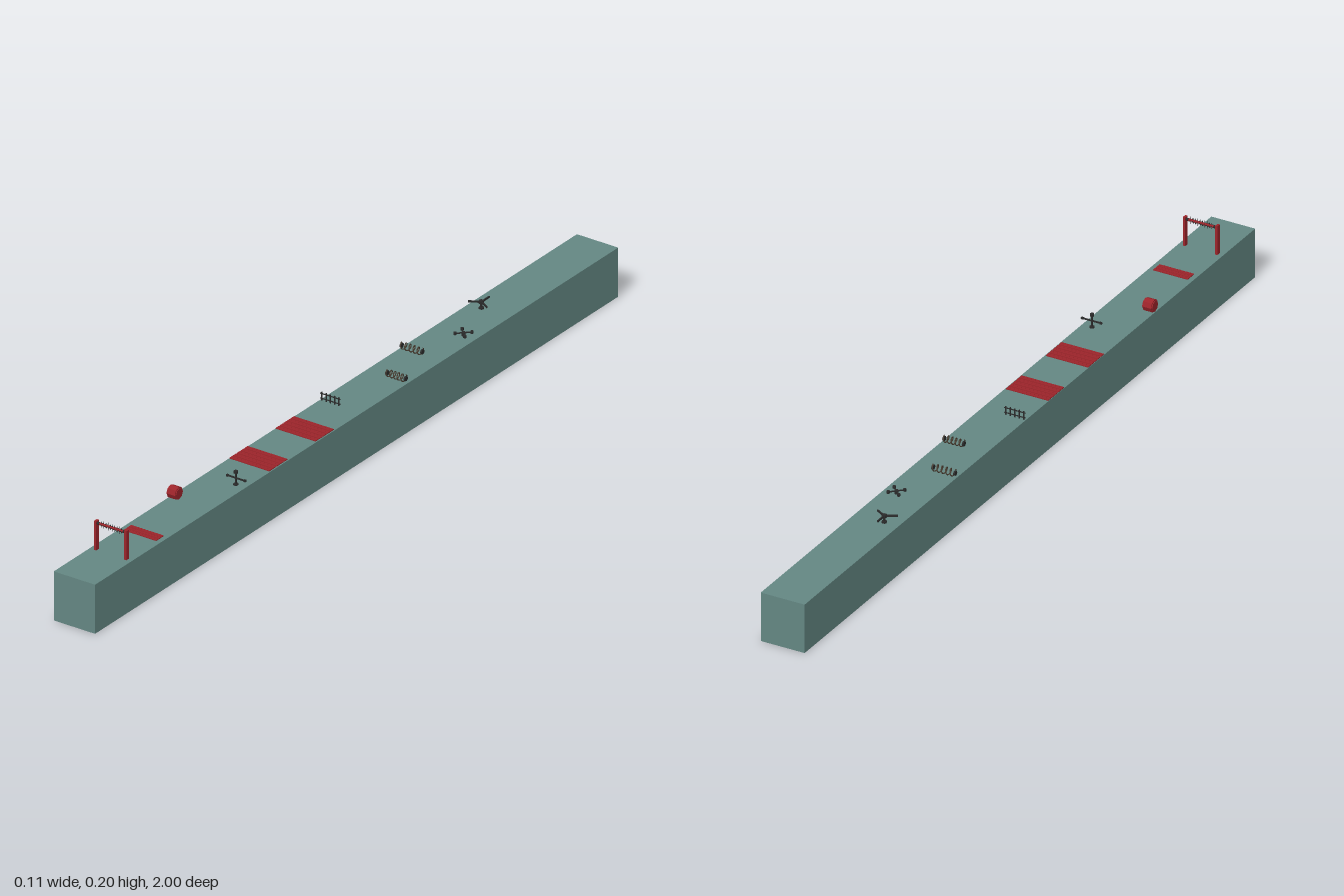
import * as THREE from 'three';

const TOP = 0.122;
const mat = (color) => {
  const m = new THREE.MeshStandardMaterial({ flatShading: true });
  m.color.set(color);
  return m;
};

export function createModel() {
  const model = new THREE.Group();
  const teal = mat(0x648783), red = mat(0x9c242a), dark = mat(0x2b2b2b), brown = mat(0x4a3f33);

  const group = (name, x, z) => {
    const g = new THREE.Group();
    g.name = name;
    g.position.set(x, TOP, z);
    model.add(g);
    return g;
  };
  const add = (parent, name, geo, m, x = 0, y = 0, z = 0) => {
    const mesh = new THREE.Mesh(geo, m);
    mesh.name = name;
    mesh.position.set(x, y, z);
    parent.add(mesh);
    return mesh;
  };
  const box = (w, h, d) => new THREE.BoxGeometry(w, h, d);
  const cyl = (r, h, n = 8, rTop = r) => new THREE.CylinderGeometry(rTop, r, h, n);

  // Long platform
  add(model, 'platform', box(0.112, TOP, 2), teal, -0.003, TOP / 2, 0);

  // Gate with a spiked crossbar
  const gate = group('spikedGate', -0.003, 0.858);
  for (const s of [-1, 1]) {
    add(gate, 'gatePost', box(0.006, 0.072, 0.011), red, s * 0.041, 0.036, 0);
    add(gate, 'barCollar', cyl(0.0035, 0.006).rotateZ(Math.PI / 2), dark, s * 0.035, 0.066, 0);
  }
  add(gate, 'crossbar', cyl(0.003, 0.078).rotateZ(Math.PI / 2), red, 0, 0.066, 0);
  for (let i = 0; i < 10; i++) {
    for (let k = 0; k < 4; k++) {
      const spike = cyl(0.0016, 0.009, 4, 0).translate(0, 0.0055, 0).rotateX(k * Math.PI / 2);
      add(gate, 'barSpike', spike, dark, -0.027 + i * 0.006, 0.066, 0);
    }
  }

  // Floor panels made of slats, set with short spikes
  const spikedFloor = (name, x, z, width, depth, rows) => {
    const g = group(name, x, z);
    const pitch = depth / rows;
    for (let r = 0; r < rows; r++) {
      const rz = (r + 0.5) * pitch - depth / 2;
      add(g, 'slat', box(width, 0.002, pitch * 0.85), red, 0, 0.001, rz);
      for (let i = 0; i < 10; i++) {
        add(g, 'floorSpike', cyl(0.0014, 0.004, 4, 0), red, (i - 4.5) * width / 10.5, 0.004, rz);
      }
    }
  };
  spikedFloor('smallSpikedFloor', -0.003, 0.735, 0.088, 0.03, 3);
  spikedFloor('frontSpikedFloor', -0.004, 0.295, 0.108, 0.072, 5);
  spikedFloor('middleSpikedFloor', -0.004, 0.118, 0.108, 0.072, 5);

  // Rolling drum with end caps
  const drum = group('rollingDrum', -0.046, 0.556);
  add(drum, 'drumBody', cyl(0.0155, 0.022, 8).rotateZ(Math.PI / 2), red, 0, 0.015, 0);
  for (const s of [-1, 1]) {
    add(drum, 'drumCap', cyl(0.013, 0.002, 8).rotateZ(Math.PI / 2), red, s * 0.012, 0.015, 0);
  }

  // Turning post with a long arm
  const turner = group('turningPost', 0.027, 0.425);
  add(turner, 'turnerBase', cyl(0.006, 0.003), dark, 0, 0.0015, 0);
  add(turner, 'turnerPost', cyl(0.002, 0.032), dark, 0, 0.016, 0);
  add(turner, 'turnerCap', cyl(0.005, 0.006), dark, 0, 0.032, 0);
  add(turner, 'turnerArm', box(0.054, 0.003, 0.003), dark, 0.001, 0.017, 0);
  for (const s of [-1, 1]) {
    add(turner, 'armTip', box(0.005, 0.005, 0.004), dark, 0.001 + s * 0.0235, 0.017, 0);
  }

  // Low fence
  const fence = group('lowFence', -0.031, -0.018);
  for (const y of [0.005, 0.017]) add(fence, 'fenceRail', box(0.054, 0.002, 0.002), dark, 0, y, 0);
  for (let i = 0; i < 5; i++) {
    add(fence, 'fencePost', box(0.0025, 0.021, 0.0025), dark, (i - 2) * 0.0115, 0.0105, 0);
  }

  // Coils lying across the platform, with a hub at each end
  const coil = (name, x, z, width) => {
    const g = group(name, x, z);
    const pts = [];
    for (let i = 0; i <= 60; i++) {
      const a = i / 60 * Math.PI * 10;
      pts.push(new THREE.Vector3((i / 60 - 0.5) * width, 0.0095 + 0.008 * Math.cos(a), 0.008 * Math.sin(a)));
    }
    add(g, 'coilWire', new THREE.TubeGeometry(new THREE.CatmullRomCurve3(pts), 120, 0.0014, 5), brown);
    for (const s of [-1, 1]) {
      add(g, 'coilHub', cyl(0.006, 0.004).rotateZ(Math.PI / 2), dark, s * width / 2, 0.0095, 0);
    }
  };
  coil('rightCoil', -0.026, -0.323, 0.056);
  coil('leftCoil', 0.022, -0.196, 0.05);

  // Cross-shaped rotor
  const cross = group('crossRotor', 0.02, -0.455);
  add(cross, 'crossHub', cyl(0.005, 0.009), dark, 0, 0.0045, 0);
  for (let k = 0; k < 4; k++) {
    const arm = new THREE.Group();
    arm.name = 'crossArm';
    arm.rotation.y = Math.PI / 4 + k * Math.PI / 2;
    cross.add(arm);
    add(arm, 'crossBar', box(0.018, 0.0025, 0.0025), dark, 0.009, 0.007, 0);
    add(arm, 'crossTip', cyl(0.004, 0.006, 6), dark, 0.019, 0.007, 0);
  }

  // Three-bladed spinner
  const spinner = group('threeBladeSpinner', -0.023, -0.584);
  add(spinner, 'spinnerBase', cyl(0.006, 0.004), dark, 0, 0.002, 0);
  add(spinner, 'spinnerPost', cyl(0.003, 0.02), dark, 0, 0.01, 0);
  add(spinner, 'spinnerHub', cyl(0.006, 0.007), dark, 0, 0.017, 0);
  for (let k = 0; k < 3; k++) {
    const blade = box(0.028, 0.004, 0.003).translate(0.016, 0, 0);
    add(spinner, 'spinnerBlade', blade, dark, 0, 0.017, 0).rotation.y = Math.PI / 2 + k * Math.PI * 2 / 3;
  }

  return model;
}
